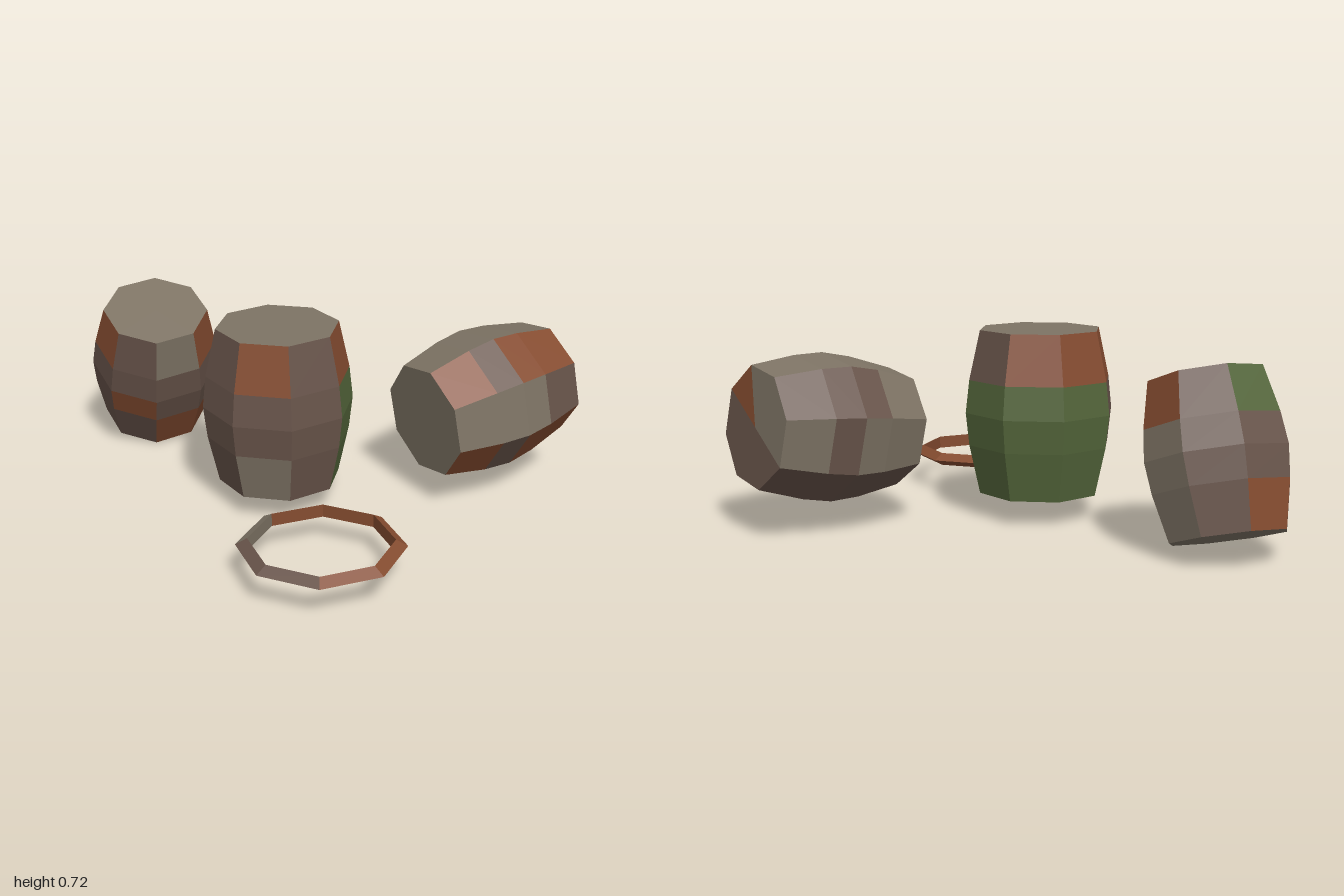
import * as THREE from 'three';

const rad = THREE.MathUtils.degToRad;

function mat(name, color) {
  const m = new THREE.MeshStandardMaterial({ color });
  m.name = name;
  return m;
}

// Letters used in the colour strings: brown, orange, green, yellow-grey
const LETTERS = 'bogy';

// Flat facets, with one colour letter per run of `size` vertices
function faceted(geometry, runs) {
  geometry.clearGroups();
  const g = geometry.toNonIndexed();
  g.computeVertexNormals();
  let start = 0;
  for (const [letters, size] of runs) {
    for (const c of letters) {
      g.addGroup(start, size, LETTERS.indexOf(c));
      start += size;
    }
  }
  return g;
}

// Eight-sided bulging barrel; each stave string runs from top to bottom
function barrelGeometry(spin, staves, topCap, bottomCap) {
  const g = new THREE.CylinderGeometry(1, 1, 4, 8, 4, false, rad(spin));
  const heights = [0, 0.125, 0.3125];
  const radii = [0.293, 0.279, 0.237];
  const p = g.attributes.position;
  for (let i = 0; i < p.count; i++) {
    const y = p.getY(i);
    const k = Math.round(Math.abs(y));
    p.setXYZ(i, p.getX(i) * radii[k], Math.sign(y) * heights[k], p.getZ(i) * radii[k]);
  }
  return faceted(g, [[staves.join(''), 6], [topCap, 3], [bottomCap, 3]]);
}

// Point the barrel's y axis along `axis`, its z side towards `front`
function place(mesh, position, axis, front, scale) {
  const y = new THREE.Vector3(...axis).normalize();
  const x = y.clone().cross(new THREE.Vector3(...front)).normalize();
  const z = x.clone().cross(y);
  mesh.quaternion.setFromRotationMatrix(new THREE.Matrix4().makeBasis(x, y, z));
  mesh.position.set(...position);
  mesh.scale.setScalar(scale);
}

export function createModel() {
  const group = new THREE.Group();
  group.name = 'barrels';
  const materials = [
    mat('brownWood', 0x68544a),
    mat('rustyOrange', 0x854c30),
    mat('mossGreen', 0x53653a),
    mat('greyWood', 0x7d7364),
  ];
  const plain = 'yyyyyyyy';

  const barrels = [
    {
      name: 'uprightBarrel', spin: 12.5, scale: 1,
      position: [-0.179, 0.4125, -0.03], axis: [0, 1, 0], front: [0, 0, 1],
      staves: ['bbbb', 'oggg', 'bggg', 'oggg', 'oggg', 'obbb', 'bbbb', 'obby'],
      top: plain,
    },
    {
      name: 'tiltedBarrel', spin: 9, scale: 0.9,
      position: [-0.737, 0.343, -0.625], axis: [0.09, 0.94, 0.34], front: [0, 0, 1],
      staves: ['ybbo', 'obbo', 'oyyy', 'bbbb', 'gbbo', 'bbbb', 'obbb', 'bbob'],
      top: plain,
    },
    {
      name: 'lyingBarrel', spin: 14, scale: 0.95,
      position: [0.627, 0.38, -0.168], axis: [0.82, 0.1, -0.565], front: [0.565, 0, 0.82],
      staves: ['oobo', 'oobb', 'bbbb', 'ybyy', 'bbby', 'yyyy', 'oobo', 'byyy'],
      top: 'bbbyyyob',
    },
  ];
  for (const b of barrels) {
    const mesh = new THREE.Mesh(barrelGeometry(b.spin, b.staves, b.top, plain), materials);
    mesh.name = b.name;
    place(mesh, b.position, b.axis, b.front, b.scale);
    group.add(mesh);
  }

  // Loose octagonal hoop with a triangular section
  const torus = new THREE.TorusGeometry(0.276, 0.029, 3, 8);
  const hoop = new THREE.Mesh(faceted(torus, [['oobbyooo'.repeat(3), 6]]), materials);
  hoop.name = 'looseHoop';
  hoop.rotation.x = Math.PI / 2;
  hoop.position.set(0, 0.132, 0.6);
  group.add(hoop);

  return group;
}
